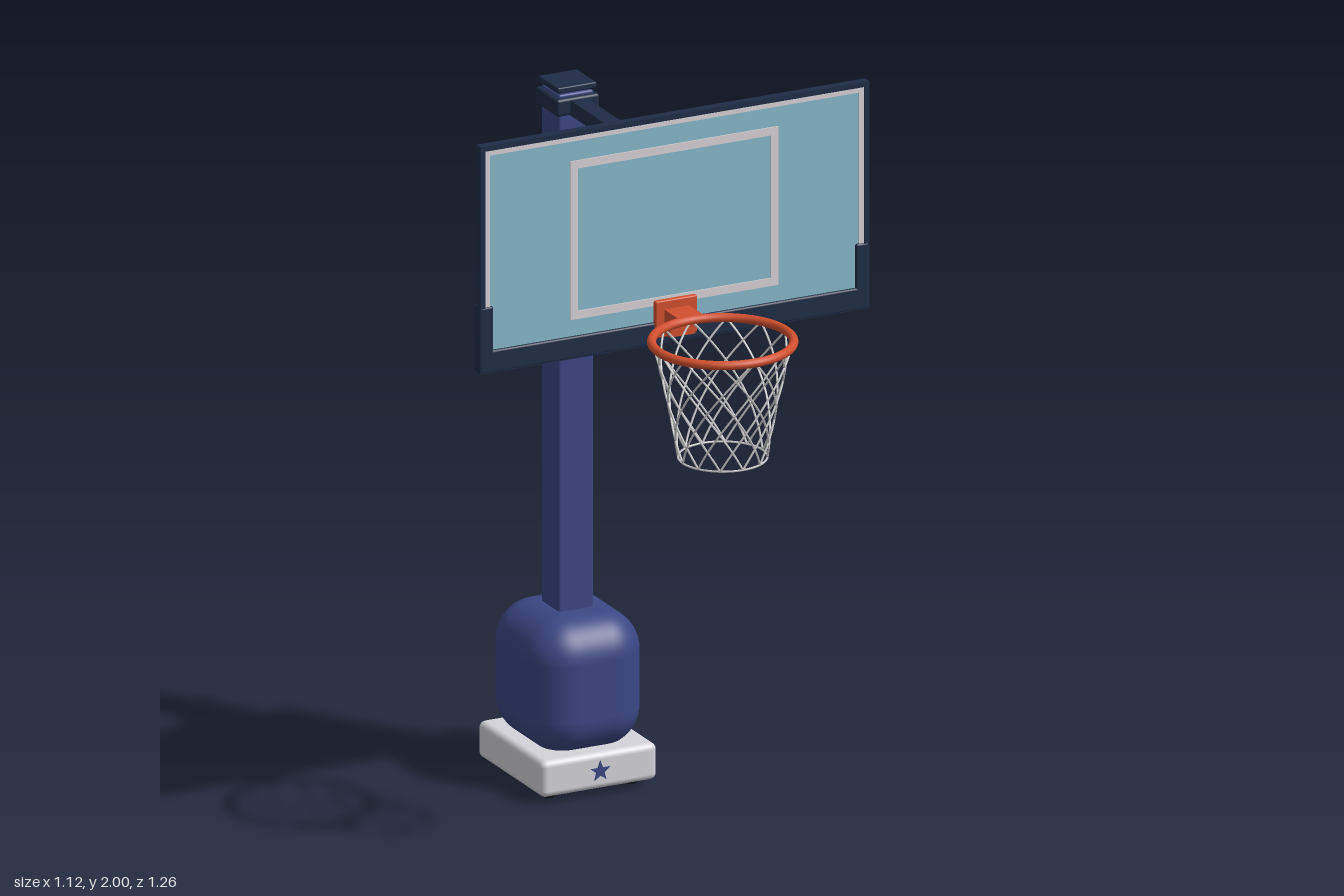
import * as THREE from 'three';
import { RoundedBoxGeometry } from 'three/addons/geometries/RoundedBoxGeometry.js';

const material = (name, color) => {
  const m = new THREE.MeshStandardMaterial({ color });
  m.name = name;
  return m;
};

export function createModel() {
  const model = new THREE.Group();
  model.name = 'basketballHoop';

  const blue = material('blue', 0x3c4784);
  const navy = material('navy', 0x1f2c47);
  const glass = material('glassBlue', 0x88b8cb);
  const white = material('lineWhite', 0xd9d2d6);
  const orange = material('rimOrange', 0xd2502f);
  const grey = material('baseGrey', 0xd4d4da);
  const cord = material('netCord', 0xd2d2d2);
  const black = material('wheelBlack', 0x1c1c20);

  const add = (name, geometry, mat, parent = model) => {
    const mesh = new THREE.Mesh(geometry, mat);
    mesh.name = name;
    parent.add(mesh);
    return mesh;
  };
  // Box given by its limits on each axis, with optional rounded edges
  const box = (name, [x0, x1], [y0, y1], [z0, z1], mat, radius = 0, parent = model) => {
    const size = [x1 - x0, y1 - y0, z1 - z0];
    const geometry = radius
      ? new RoundedBoxGeometry(...size, radius > 0.05 ? 8 : 3, radius)
      : new THREE.BoxGeometry(...size);
    const mesh = add(name, geometry, mat, parent);
    mesh.position.set((x0 + x1) / 2, (y0 + y1) / 2, (z0 + z1) / 2);
    return mesh;
  };
  const group = (name) => {
    const g = new THREE.Group();
    g.name = name;
    model.add(g);
    return g;
  };
  // Flat rectangular outline, extruded forward from z
  const outline = (name, [x0, x1], [y0, y1], t, z, depth, mat, parent) => {
    const rect = (C, a, b, c, d) => {
      const p = new C();
      p.moveTo(a, c).lineTo(b, c).lineTo(b, d).lineTo(a, d).closePath();
      return p;
    };
    const shape = rect(THREE.Shape, x0, x1, y0, y1);
    shape.holes.push(rect(THREE.Path, x0 + t, x1 - t, y0 + t, y1 - t));
    const geometry = new THREE.ExtrudeGeometry(shape, { depth, bevelEnabled: false });
    add(name, geometry, mat, parent).position.z = z;
  };

  const poleZ = -0.445;
  const around = (half) => [poleZ - half, poleZ + half];

  // Base with wheels and star
  const base = group('base');
  box('baseBlock', [-0.167, 0.167], [0.02, 0.12], around(0.185), grey, 0.018, base);
  for (const x of [-0.12, 0.12]) {
    for (const z of [-0.315, -0.575]) {
      const wheel = add('wheel', new THREE.CylinderGeometry(0.015, 0.015, 0.02, 16), black, base);
      wheel.rotation.z = Math.PI / 2;
      wheel.position.set(x, 0.015, z);
    }
  }
  const points = [];
  for (let i = 0; i < 10; i++) {
    const a = Math.PI / 2 + (i * Math.PI) / 5;
    const r = i % 2 ? 0.012 : 0.029;
    points.push(new THREE.Vector2(r * Math.cos(a), r * Math.sin(a)));
  }
  const star = add('star', new THREE.ExtrudeGeometry(new THREE.Shape(points),
    { depth: 0.005, bevelEnabled: false }), blue, base);
  star.position.set(0, 0.071, poleZ + 0.183);

  // Padding and pole
  box('pad', [-0.16, 0.16], [0.1, 0.47], around(0.178), blue, 0.11);
  box('pole', [-0.05, 0.05], [0.1, 1.88], around(0.05), blue, 0.006);
  for (const y of [1.256, 1.825]) {
    box('collar', [-0.062, 0.062], [y, y + 0.047], around(0.063), navy, 0.008);
  }
  box('capNeck', [-0.04, 0.04], [1.86, 1.89], around(0.04), navy);
  box('cap', [-0.056, 0.056], [1.885, 1.902], around(0.056), navy, 0.004);

  // Support arms
  box('upperArm', [-0.023, 0.023], [1.825, 1.866], [poleZ, 0.13], navy);
  const from = new THREE.Vector3(0, 1.664, 0.122);
  const to = new THREE.Vector3(0, 1.285, -0.42);
  const strut = add('strut', new THREE.BoxGeometry(0.042, 0.036, from.distanceTo(to)), navy);
  strut.position.copy(from).add(to).multiplyScalar(0.5);
  strut.rotation.x = -Math.atan2(from.y - to.y, from.z - to.z);

  // Backboard
  const board = group('backboard');
  box('glass', [-0.55, 0.55], [1.4, 1.99], [0.146, 0.16], glass, 0, board);
  outline('frame', [-0.56, 0.56], [1.38, 2], 0.014, 0.142, 0.024, navy, board);
  box('bottomRail', [-0.56, 0.56], [1.38, 1.44], [0.127, 0.167], navy, 0.006, board);
  for (const s of [-1, 1]) {
    const xs = [s * 0.522, s * 0.56].sort((a, b) => a - b);
    box('cornerGuard', xs, [1.38, 1.56], [0.127, 0.167], navy, 0.006, board);
  }
  outline('borderLine', [-0.546, 0.546], [1.42, 1.986], 0.014, 0.159, 0.004, white, board);
  outline('targetLine', [-0.3, 0.3], [1.485, 1.918], 0.022, 0.159, 0.004, white, board);
  box('mountPlate', [-0.105, 0.105], [1.59, 1.825], [0.123, 0.148], navy, 0.005, board);

  // Rim and its bracket
  const hoop = group('hoop');
  const hoopZ = 0.437;
  const rimY = 1.466;
  box('bracketPlate', [-0.06, 0.06], [1.4, 1.5], [0.16, 0.176], orange, 0.004, hoop);
  box('bracketBlock', [-0.036, 0.036], [1.41, 1.476], [0.165, 0.21], orange, 0, hoop);
  box('bracketArm', [-0.036, 0.036], [1.456, 1.476], [0.165, 0.258], orange, 0, hoop);
  const rim = add('rim', new THREE.TorusGeometry(0.183, 0.012, 12, 64), orange, hoop);
  rim.rotation.x = Math.PI / 2;
  rim.position.set(0, rimY, hoopZ);

  // Net of crossing cords
  const net = group('net');
  net.position.z = hoopZ;
  const netBottom = 1.152;
  const cords = 12;
  for (const turn of [-1, 1]) {
    const path = [];
    for (let i = 0; i <= 12; i++) {
      const t = i / 12;
      const r = 0.18 - 0.08 * t + 0.015 * t * t;
      const a = turn * t * Math.PI / 2;
      path.push(new THREE.Vector3(r * Math.cos(a), rimY + (netBottom - rimY) * t, r * Math.sin(a)));
    }
    const geometry = new THREE.TubeGeometry(new THREE.CatmullRomCurve3(path), 28, 0.003, 5);
    for (let k = 0; k < cords; k++) {
      add('netCord', geometry, cord, net).rotation.y = (k * Math.PI * 2) / cords;
    }
  }
  const hem = add('netHem', new THREE.TorusGeometry(0.115, 0.003, 5, 48), cord, net);
  hem.rotation.x = Math.PI / 2;
  hem.position.y = netBottom;

  return model;
}
